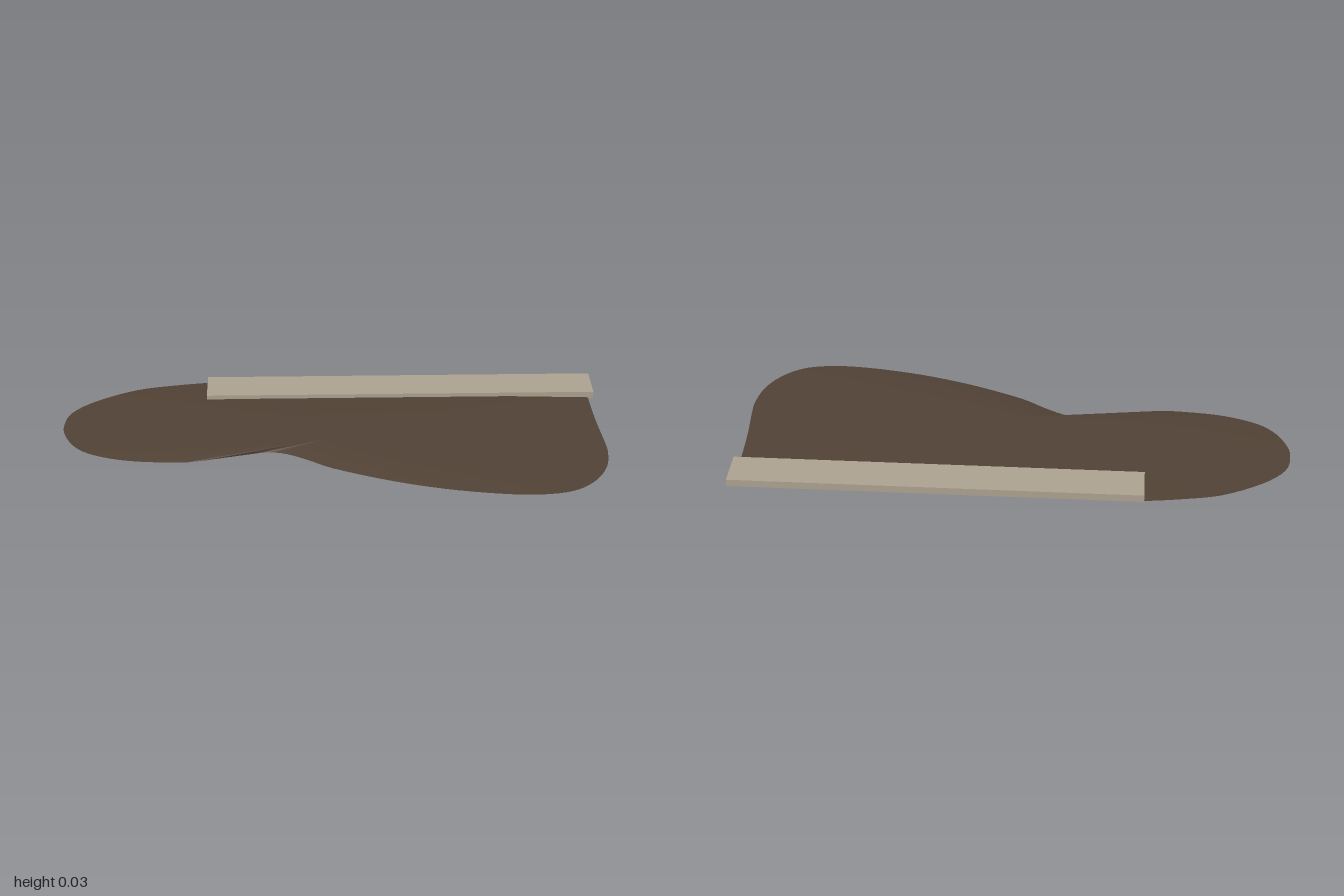
import * as THREE from 'three';

const RIM_Y = 0.003;
const APEX = new THREE.Vector3(0, 0.031, 0.05);

// Shallow fan rising from a curved outline to one peak
function fan(outline, apex) {
  const pos = [apex.x, apex.y, apex.z];
  const index = [];
  outline.forEach((p, i) => {
    pos.push(p.x, RIM_Y, p.y);
    index.push(0, ((i + 1) % outline.length) + 1, i + 1);
  });
  const geo = new THREE.BufferGeometry();
  geo.setAttribute('position', new THREE.Float32BufferAttribute(pos, 3));
  geo.setIndex(index);
  geo.computeVertexNormals();
  return geo;
}

// Box that is open underneath
function openBox(w, h, d) {
  const geo = new THREE.BoxGeometry(w, h, d);
  const idx = Array.from(geo.index.array);
  idx.splice(18, 6);
  geo.setIndex(idx);
  geo.clearGroups();
  return geo;
}

export function createModel() {
  const group = new THREE.Group();
  const brown = new THREE.MeshStandardMaterial({ color: 0x514235, side: THREE.DoubleSide });
  brown.name = 'dark brown';
  const tan = new THREE.MeshStandardMaterial({ color: 0xada291, side: THREE.DoubleSide });
  tan.name = 'pale stone';

  // Curved shore in x, z; the back edge runs straight under the strip
  const shore = [
    [0.98, -0.27], [0.985, -0.1], [0.996, 0.05], [0.998, 0.13], [0.98, 0.23], [0.93, 0.32],
    [0.85, 0.385], [0.74, 0.41], [0.6, 0.405], [0.4, 0.37], [0.2, 0.31], [0, 0.225],
    [-0.1, 0.16], [-0.18, 0.118], [-0.25, 0.11], [-0.36, 0.133], [-0.5, 0.166], [-0.58, 0.172],
    [-0.75, 0.155], [-0.88, 0.11], [-0.95, 0.05], [-0.99, -0.03], [-1, -0.1], [-0.98, -0.19],
    [-0.9, -0.275], [-0.75, -0.36], [-0.6, -0.395], [-0.48, -0.413],
  ].map(([x, z]) => new THREE.Vector2(x, z));
  const outline = new THREE.SplineCurve(shore).getPoints(110);
  outline.push(new THREE.Vector2(0.98, -0.413));

  const mound = new THREE.Mesh(fan(outline, APEX), brown);
  mound.name = 'groundMound';
  group.add(mound);

  // Flat strip along the back edge
  const strip = new THREE.Mesh(openBox(1.475, 0.027, 0.145), tan);
  strip.name = 'edgeStrip';
  strip.position.set(0.2625, 0.0135, -0.3425);
  group.add(strip);

  return group;
}
